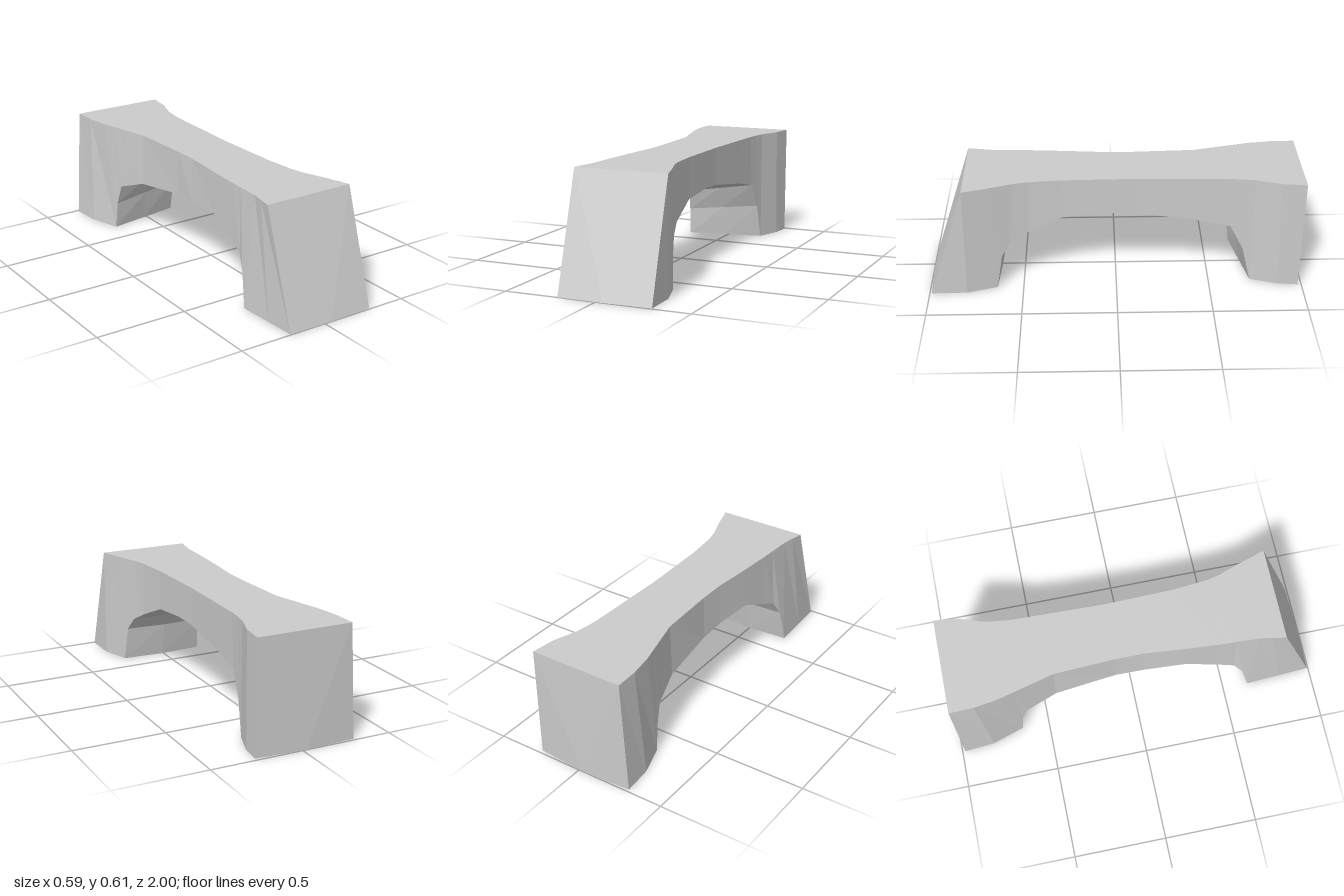
import * as THREE from 'three';

const TOP = 0.61;

// Outlines in plan as [z, x], front to back
const topLeft = [[0.8, -0.215], [0.66, -0.19], [0.4, -0.18], [0.05, -0.15], [-0.28, -0.15], [-0.43, -0.165], [-0.8, -0.26], [-1, -0.265]];
const baseLeft = [[1, -0.21], [0.64, -0.23], [0.54, -0.195], [0.28, -0.175], [-0.1, -0.152], [-0.43, -0.175], [-0.65, -0.23], [-0.84, -0.292], [-1, -0.3]];
const right = [[1, 0.295], [0.8, 0.292], [0.65, 0.245], [0.5, 0.19], [0.28, 0.17], [-0.1, 0.162], [-0.6, 0.175], [-0.72, 0.19], [-0.88, 0.245], [-1, 0.255]];

// Underside profile of each side as [z, y]: front leg, arch, back leg
const leftUnderside = [
  [0.995, 0], [0.83, 0], [0.64, 0], [0.6, 0.19], [0.55, 0.27], [0.46, 0.31], [0.28, 0.385],
  [0.05, 0.385], [-0.1, 0.365], [-0.43, 0.325], [-0.6, 0.265], [-0.635, 0.15], [-0.65, 0], [-0.82, 0], [-0.985, 0],
];
const rightUnderside = [
  [0.99, 0], [0.8, 0], [0.64, 0], [0.61, 0.19], [0.56, 0.26], [0.47, 0.31], [0.28, 0.39],
  [0.05, 0.41], [-0.1, 0.405], [-0.43, 0.362], [-0.61, 0.325], [-0.68, 0.19], [-0.725, 0], [-0.87, 0], [-0.98, 0],
];
// Top z of each cross-section
const topZ = [0.8, 0.73, 0.66, 0.61, 0.54, 0.46, 0.28, 0.05, -0.1, -0.43, -0.59, -0.65, -0.73, -0.86, -0.99];

// x of an outline at z
function xAt(outline, z) {
  const i = Math.max(1, outline.findIndex(([pz]) => pz <= z));
  const [z0, x0] = outline[i - 1], [z1, x1] = outline[i];
  return THREE.MathUtils.mapLinear(z, z0, z1, x0, x1);
}

// Ring: top left, top right, bottom right, bottom middle, bottom left
function ringAt(i) {
  const z = topZ[i];
  const [lz, ly] = leftUnderside[i], [rz, ry] = rightUnderside[i];
  const bulge = i === 0 ? 0.0075 : i === topZ.length - 1 ? -0.0175 : -0.015;
  return [
    [xAt(topLeft, z), TOP, z],
    [xAt(right, z), TOP, z],
    [xAt(right, rz), ry, rz],
    [(xAt(right, rz) + xAt(baseLeft, lz)) / 2, (ly + ry) / 2, (lz + rz) / 2 + (z > 0.3 || i > 13 ? bulge : 0)],
    [xAt(baseLeft, lz), ly, lz],
  ];
}

function loftGeometry(rings) {
  const pos = [];
  const tri = (a, b, c) => pos.push(...a, ...b, ...c);
  for (let i = 0; i < rings.length - 1; i++) {
    const p = rings[i], q = rings[i + 1];
    for (let k = 0; k < p.length; k++) {
      const n = (k + 1) % p.length;
      tri(p[k], p[n], q[n]);
      tri(p[k], q[n], q[k]);
    }
  }
  // end faces
  const cap = ([tl, tr, br, bm, bl]) => {
    tri(tl, bl, bm);
    tri(tl, bm, tr);
    tri(tr, bm, br);
  };
  cap(rings[0]);
  const [tl, tr, br, bm, bl] = rings[rings.length - 1];
  cap([tr, tl, bl, bm, br]);
  const geometry = new THREE.BufferGeometry();
  geometry.setAttribute('position', new THREE.Float32BufferAttribute(pos, 3));
  geometry.computeVertexNormals();
  return geometry;
}

export function createModel() {
  const group = new THREE.Group();
  group.name = 'stoneArch';
  const stone = new THREE.MeshStandardMaterial({ color: 0xcccccc, flatShading: true });
  const arch = new THREE.Mesh(loftGeometry(topZ.map((_, i) => ringAt(i))), stone);
  arch.name = 'archBridge';
  group.add(arch);
  return group;
}
